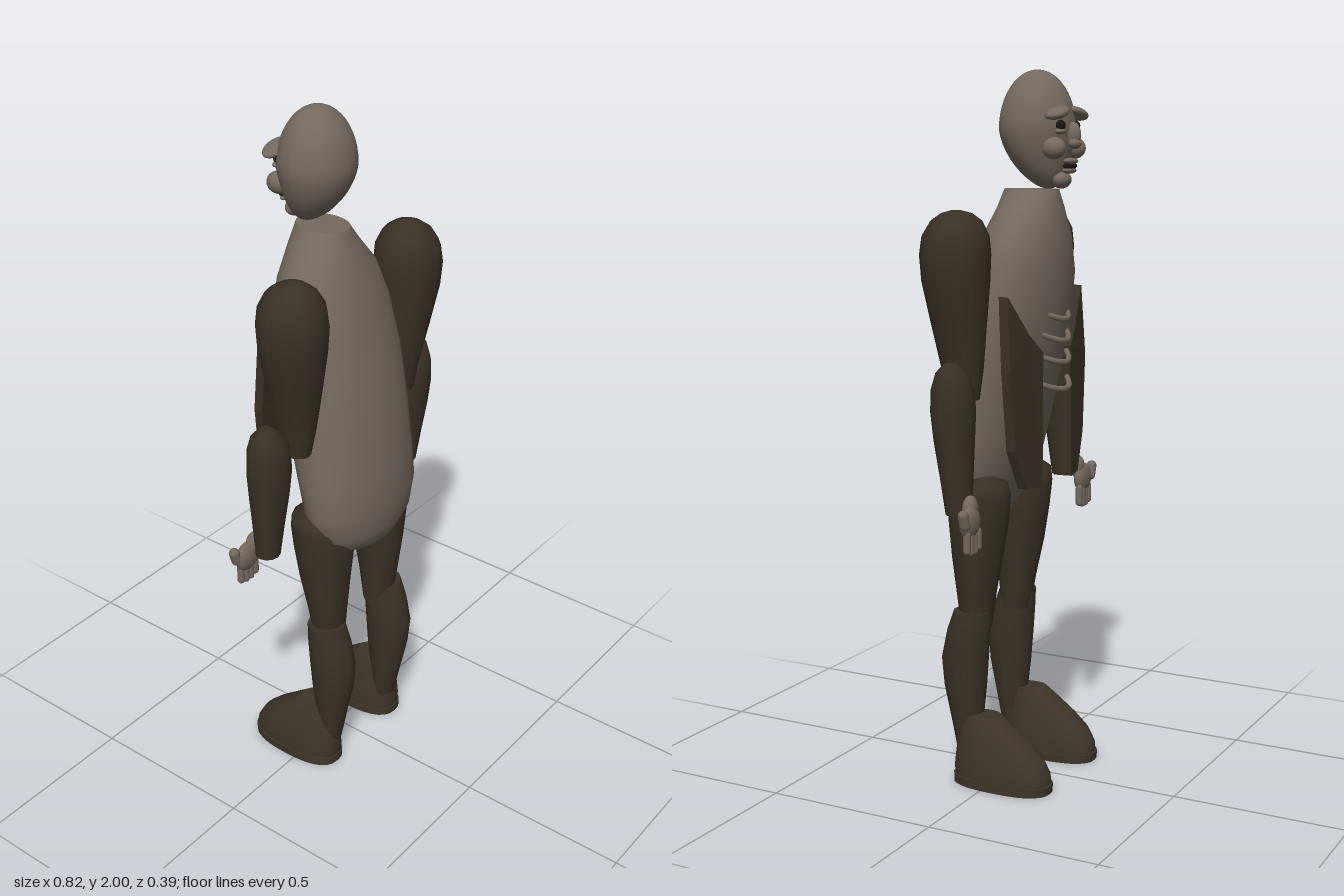
import * as THREE from 'three';

const mat = (name, color, side = THREE.FrontSide) => {
  const m = new THREE.MeshStandardMaterial({ color, side });
  m.name = name;
  return m;
};

// Closed skin through oval rings, bottom to top: [y, centre x, back z, front z, half width]
function loft(rings, sides, power = 1) {
  const pos = [], idx = [];
  const bend = (v) => Math.sign(v) * Math.abs(v) ** power;
  const addRing = ([y, cx, back, front, rx]) => {
    const start = pos.length / 3;
    for (let i = 0; i < sides; i++) {
      const a = (i / sides) * Math.PI * 2;
      pos.push(cx + rx * bend(Math.cos(a)), y, (back + front) / 2 + ((back - front) / 2) * bend(Math.sin(a)));
    }
    return start;
  };
  const starts = rings.map(addRing);
  for (let r = 0; r < rings.length - 1; r++) {
    for (let i = 0; i < sides; i++) {
      const j = (i + 1) % sides, a = starts[r], b = starts[r + 1];
      idx.push(a + i, b + i, a + j, b + i, b + j, a + j);
    }
  }
  // flat end caps with their own vertices
  [rings[0], rings[rings.length - 1]].forEach((ring, top) => {
    const s = addRing(ring), c = pos.length / 3;
    pos.push(ring[1], ring[0], (ring[2] + ring[3]) / 2);
    for (let i = 0; i < sides; i++) {
      const j = (i + 1) % sides;
      if (top) idx.push(c, s + j, s + i);
      else idx.push(c, s + i, s + j);
    }
  });
  const g = new THREE.BufferGeometry();
  g.setAttribute('position', new THREE.Float32BufferAttribute(pos, 3));
  g.setIndex(idx);
  g.computeVertexNormals();
  return g;
}

export function createModel() {
  const model = new THREE.Group();
  model.name = 'figure';
  const skin = mat('skin', 0x75695e);
  const cloth = mat('dark cloth', 0x3a3125);
  const leather = mat('boot leather', 0x3e3528);
  const dark = mat('eye and mouth dark', 0x1d1714);

  const add = (name, geometry, material, parent = model) => {
    const m = new THREE.Mesh(geometry, material);
    m.name = name;
    parent.add(m);
    return m;
  };
  const blob = (name, p, r, material, parent, tilt = 0) => {
    const m = add(name, new THREE.SphereGeometry(1, 20, 14), material, parent);
    m.position.set(...p);
    m.scale.set(...r);
    m.rotation.z = tilt;
    return m;
  };
  const limb = (name, rings, s, sides, material, power) =>
    add(name, loft(rings.map(([y, x, ...rest]) => [y, x * s, ...rest]), sides, power), material);

  // Stooped torso
  add('torso', loft([
    [0.75, 0, 0.14, 0.06, 0.06], [0.77, 0, 0.168, 0.03, 0.13], [0.82, 0, 0.187, 0, 0.185],
    [0.9, 0, 0.195, -0.035, 0.21], [1.0, 0, 0.19, -0.065, 0.21], [1.15, 0, 0.172, -0.1, 0.21],
    [1.3, 0, 0.145, -0.135, 0.213], [1.45, 0, 0.108, -0.152, 0.197], [1.55, 0, 0.078, -0.148, 0.162],
    [1.63, 0, 0.045, -0.138, 0.1], [1.68, 0, 0.03, -0.128, 0.06],
  ], 40), skin);

  // Ribs: sagging bars across the chest
  [1.335, 1.275, 1.215, 1.14].forEach((y, i) => {
    const w = 0.07 + i * 0.005;
    const path = new THREE.QuadraticBezierCurve3(
      new THREE.Vector3(-w, y + 0.012, -0.118),
      new THREE.Vector3(0, y - 0.03, -0.192),
      new THREE.Vector3(w, y + 0.012, -0.118));
    add('rib', new THREE.TubeGeometry(path, 16, 0.008, 8), skin);
  });

  // Head: egg with the jaw narrowed and pushed forward (-z)
  const head = new THREE.Group();
  head.name = 'head';
  model.add(head);
  const skull = new THREE.SphereGeometry(1, 32, 24);
  const p = skull.attributes.position;
  for (let i = 0; i < p.count; i++) {
    const y = p.getY(i), t = Math.max(0, -y), k = 1 - 0.2 * t;
    p.setXYZ(i, p.getX(i) * 0.113 * k, 1.84 + y * 0.16, -0.067 + p.getZ(i) * 0.104 * k - 0.035 * t * t);
  }
  skull.computeVertexNormals();
  add('skull', skull, skin, head);
  blob('nose', [0, 1.825, -0.175], [0.018, 0.035, 0.022], skin, head);
  blob('noseTip', [0, 1.803, -0.18], [0.021, 0.016, 0.018], skin, head);
  blob('mouth', [0, 1.742, -0.166], [0.036, 0.011, 0.012], dark, head);
  blob('upperLip', [0, 1.755, -0.168], [0.038, 0.009, 0.014], skin, head);
  blob('lowerLip', [0, 1.73, -0.164], [0.034, 0.009, 0.014], skin, head);
  blob('chin', [0, 1.705, -0.14], [0.035, 0.024, 0.026], skin, head);
  for (const s of [-1, 1]) {
    blob('brow', [s * 0.058, 1.883, -0.155], [0.048, 0.016, 0.031], skin, head, -s * 0.25);
    blob('eye', [s * 0.045, 1.85, -0.158], [0.018, 0.015, 0.014], dark, head);
    blob('eyeBag', [s * 0.045, 1.834, -0.158], [0.022, 0.009, 0.015], skin, head);
    blob('cheek', [s * 0.062, 1.79, -0.147], [0.029, 0.03, 0.034], skin, head);
  }

  for (const s of [-1, 1]) {
    // Sleeves
    limb('upperArm', [
      [1.12, 0.235, 0.085, -0.01, 0.036], [1.2, 0.233, 0.1, -0.02, 0.047], [1.33, 0.243, 0.122, -0.032, 0.074],
      [1.44, 0.252, 0.139, -0.042, 0.097], [1.51, 0.253, 0.144, -0.045, 0.102], [1.56, 0.252, 0.138, -0.041, 0.094],
      [1.6, 0.251, 0.115, -0.022, 0.07], [1.62, 0.25, 0.088, 0.005, 0.042], [1.628, 0.25, 0.06, 0.035, 0.012],
    ], s, 12, cloth);
    limb('forearm', [
      [0.82, 0.32, 0.04, -0.03, 0.036], [0.92, 0.321, 0.055, -0.035, 0.045], [1.02, 0.322, 0.07, -0.038, 0.059],
      [1.1, 0.322, 0.078, -0.04, 0.068], [1.16, 0.324, 0.075, -0.037, 0.064], [1.205, 0.33, 0.06, -0.022, 0.046],
      [1.23, 0.333, 0.035, 0.003, 0.018],
    ], s, 12, cloth);

    // Hand with four fingers and a thumb
    const hand = new THREE.Group();
    hand.name = 'hand';
    model.add(hand);
    blob('palm', [s * 0.348, 0.808, -0.045], [0.046, 0.044, 0.02], skin, hand);
    blob('wrist', [s * 0.33, 0.842, -0.036], [0.027, 0.036, 0.02], skin, hand);
    for (let i = 0; i < 4; i++) {
      const f = add('finger', new THREE.CapsuleGeometry(0.0105, 0.045, 4, 10), skin, hand);
      f.position.set(s * (0.313 + i * 0.02), 0.756 + (i % 3 ? -0.004 : 0.002), -0.05);
    }
    const thumb = add('thumb', new THREE.CapsuleGeometry(0.015, 0.03, 4, 10), skin, hand);
    thumb.position.set(s * 0.391, 0.822, -0.052);
    thumb.rotation.z = -s * 0.3;

    // Trousers
    limb('thigh', [
      [0.45, 0.12, 0.105, 0.02, 0.05], [0.55, 0.124, 0.116, 0.003, 0.06], [0.66, 0.128, 0.128, -0.02, 0.073],
      [0.76, 0.127, 0.136, -0.036, 0.087], [0.83, 0.13, 0.138, -0.043, 0.089], [0.87, 0.135, 0.12, -0.035, 0.083],
      [0.9, 0.135, 0.08, 0.01, 0.04],
    ], s, 14, cloth);
    limb('shin', [
      [0.08, 0.135, 0.112, 0.045, 0.035], [0.18, 0.136, 0.132, 0.037, 0.046], [0.28, 0.137, 0.153, 0.026, 0.058],
      [0.36, 0.138, 0.16, 0.02, 0.063], [0.44, 0.138, 0.142, 0.014, 0.062], [0.5, 0.138, 0.12, 0.012, 0.057],
    ], s, 14, cloth);

    // Boot and sole
    limb('boot', [
      [0.025, 0.147, 0.112, -0.182, 0.07], [0.05, 0.147, 0.112, -0.18, 0.07], [0.09, 0.147, 0.108, -0.158, 0.065],
      [0.13, 0.147, 0.1, -0.115, 0.058], [0.17, 0.146, 0.088, -0.06, 0.05], [0.2, 0.144, 0.075, -0.02, 0.04],
    ], s, 28, leather, 0.8);
    limb('sole', [[0, 0.147, 0.115, -0.185, 0.073], [0.024, 0.147, 0.115, -0.187, 0.073]], s, 28, leather, 0.8);

    // Coat front panel, angled round the side and leaning back at its point
    const outline = [[0.225, 1.4], [0.232, 1.2], [0.21, 0.98], [0.16, 0.87], [0.09, 0.865], [0.085, 1.24], [0.14, 1.29]];
    const panel = new THREE.ExtrudeGeometry(
      new THREE.Shape(outline.map(([x, y]) => new THREE.Vector2(x * s, y))),
      { depth: 0.028, bevelEnabled: false });
    const q = panel.attributes.position;
    for (let i = 0; i < q.count; i++) {
      const x = Math.abs(q.getX(i)), y = q.getY(i);
      q.setZ(i, q.getZ(i) - 0.131 + (x - 0.09) * 0.18 + Math.max(0, y - 1.2) * 0.06);
    }
    panel.computeVertexNormals();
    add('coatPanel', panel, cloth);
  }
  return model;
}
